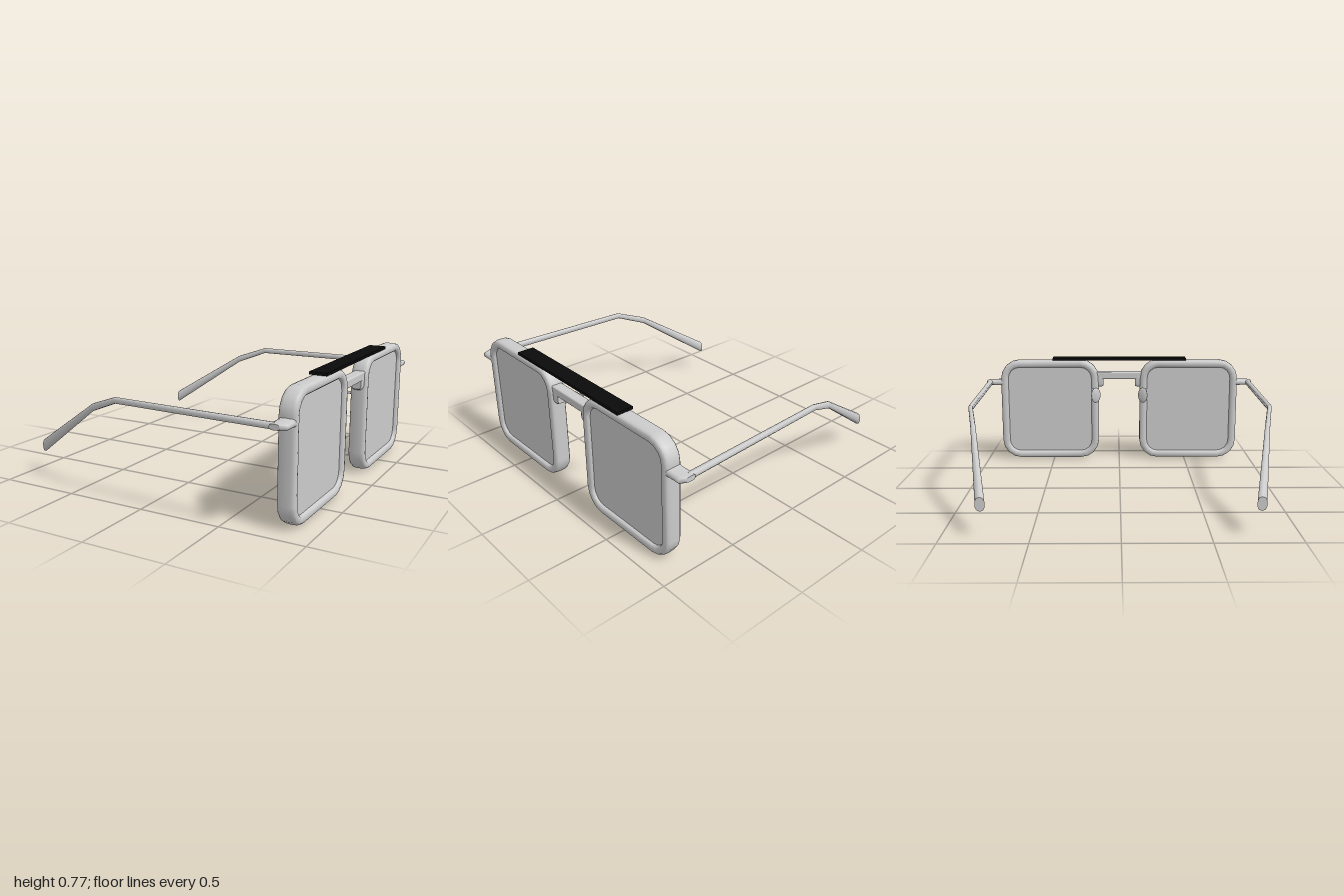
import * as THREE from 'three';
import { RoundedBoxGeometry } from 'three/addons/geometries/RoundedBoxGeometry.js';
import { toCreasedNormals } from 'three/addons/utils/BufferGeometryUtils.js';

const V = (x, y, z) => new THREE.Vector3(x, y, z);
const grey = new THREE.MeshStandardMaterial({ color: 0xcccccc });
const black = new THREE.MeshStandardMaterial({ color: 0x0a0a0a });
const FRAME_X = 0.8325;   // middle of the frame's depth
const EYE_Z = 0.525;      // centre of each eye
const EYE_Y = 0.378;
const HALF_W = 0.37, HALF_H = 0.378;

// Cross-section around c; power below 1 makes it boxier
function ring(c, a, b, n = 10, power = 1) {
  const soft = (v) => Math.sign(v) * Math.abs(v) ** power;
  return Array.from({ length: n }, (_, i) => {
    const t = (i / n) * Math.PI * 2;
    return c.clone().addScaledVector(a, soft(Math.cos(t))).addScaledVector(b, soft(Math.sin(t)));
  });
}

// Skin a row of rings, either closed into a loop or capped at both ends
function loft(rings, closed = false) {
  const n = rings[0].length, m = rings.length;
  const points = rings.flat();
  const index = [];
  for (let i = 0; i < (closed ? m : m - 1); i++) {
    for (let j = 0; j < n; j++) {
      const k = (j + 1) % n, r = i * n, s = ((i + 1) % m) * n;
      index.push(r + j, r + k, s + k, r + j, s + k, s + j);
    }
  }
  if (!closed) {
    [rings[0], rings[m - 1]].forEach((loop, end) => {
      const base = points.length;
      points.push(...loop);
      for (let j = 1; j < n - 1; j++) {
        index.push(base, base + (end ? j : j + 1), base + (end ? j + 1 : j));
      }
    });
  }
  const geo = new THREE.BufferGeometry().setFromPoints(points);
  geo.setIndex(index);
  geo.computeVertexNormals();
  return geo;
}

// Reflect a geometry across the middle plane, keeping faces outward
function mirrored(geo) {
  const copy = geo.clone().scale(1, 1, -1);
  const idx = copy.index.array;
  for (let i = 0; i < idx.length; i += 3) [idx[i + 1], idx[i + 2]] = [idx[i + 2], idx[i + 1]];
  return copy;
}

// Rounded-square outline: points and outward directions, inset from the rim's outer edge
function outline(inset, radius = 0.14, steps = 4) {
  const list = [];
  for (let q = 0; q < 4; q++) {
    const sx = q === 0 || q === 3 ? 1 : -1, sy = q < 2 ? 1 : -1;
    for (let i = 0; i <= steps; i++) {
      const t = (q + i / steps) * Math.PI / 2;
      const u = Math.cos(t), v = Math.sin(t);
      list.push({
        u, v,
        h: sx * (HALF_W - radius) + u * (radius - inset),
        y: sy * (HALF_H - radius) + v * (radius - inset),
      });
    }
  }
  return list;
}

export function createModel() {
  const model = new THREE.Group();
  const add = (name, geo, mat = grey) => {
    const mesh = new THREE.Mesh(geo, mat);
    mesh.name = name;
    model.add(mesh);
  };
  const addPair = (name, geo) => {
    add(name + 'Left', geo);
    add(name + 'Right', mirrored(geo));
  };

  // Thick rounded rims
  addPair('rim', loft(outline(0.029).map((p) => ring(
    V(FRAME_X, EYE_Y + p.y, EYE_Z + p.h),
    V(0, p.v * 0.029, p.u * 0.029), V(0.0525, 0, 0), 16, 0.65)), true));

  // Lenses set slightly inside the rims
  const lensShape = new THREE.Shape(outline(0.04).map((p) => new THREE.Vector2(p.h, p.y)));
  for (const [side, s] of [['Left', 1], ['Right', -1]]) {
    const lens = new THREE.ExtrudeGeometry(lensShape, { depth: 0.06, bevelEnabled: false });
    lens.translate(0, 0, -0.03).rotateY(Math.PI / 2).translate(FRAME_X, EYE_Y, s * EYE_Z);
    add('lens' + side, lens);
  }

  // Flat dark bar across the top
  add('topBar', new THREE.BoxGeometry(0.105, 0.017, 1).translate(FRAME_X, 0.764, 0), black);

  // Bridge and its end blocks
  add('bridge', new RoundedBoxGeometry(0.07, 0.055, 0.36, 2, 0.01).translate(FRAME_X, 0.637, 0));
  addPair('bridgeBlock', loft([[0.12, 0.03, 0.05], [0.135, 0.036, 0.057], [0.19, 0.036, 0.057]]
    .map(([z, hx, hy]) => ring(V(FRAME_X, 0.607, z), V(hx, 0, 0), V(0, hy, 0), 16, 0.5))));

  // End pieces joining rims to temples
  addPair('endPiece', loft([
    [0.86, 0.05, 0.035], [0.9, 0.05, 0.022], [0.95, 0.051, 0.019],
    [0.98, 0.051, 0.019], [1.0, 0.03, 0.016],
  ].map(([z, hx, hy]) => ring(
    V(z === 1 ? 0.815 : FRAME_X, 0.586, z), V(hx, 0, 0), V(0, hy, 0), 12, 0.65))));

  // Temples, bending down and in to a wider tip
  const temple = loft([
    [-0.888, 0.185, 0.777, 0.041, 0.028],
    [-0.4, 0.513, 0.889, 0.023, 0.016],
    [-0.2, 0.588, 0.937, 0.019, 0.014],
    [0.81, 0.586, 0.975, 0.019, 0.02],
  ].map(([x, y, z, hy, hz]) => ring(V(x, y, z), V(0, hy, 0), V(0, 0, hz), 10, 0.8)));
  addPair('temple', toIndexed(toCreasedNormals(temple, 0.9)));

  // Nose pads on bent wire arms
  const wire = new THREE.CatmullRomCurve3([
    V(0.8, 0.52, 0.18), V(0.745, 0.522, 0.175), V(0.725, 0.54, 0.19),
    V(0.695, 0.547, 0.2), V(0.675, 0.53, 0.19), V(0.66, 0.515, 0.175),
  ]);
  addPair('noseArm', new THREE.TubeGeometry(wire, 24, 0.009, 8));
  addPair('nosePad', new THREE.SphereGeometry(1, 20, 12)
    .scale(0.012, 0.057, 0.038).rotateY(-0.45).translate(0.659, 0.513, 0.174));

  return model;
}

// Give a triangle list a plain index so it can be mirrored
function toIndexed(geo) {
  geo.setIndex(Array.from({ length: geo.attributes.position.count }, (_, i) => i));
  return geo;
}
